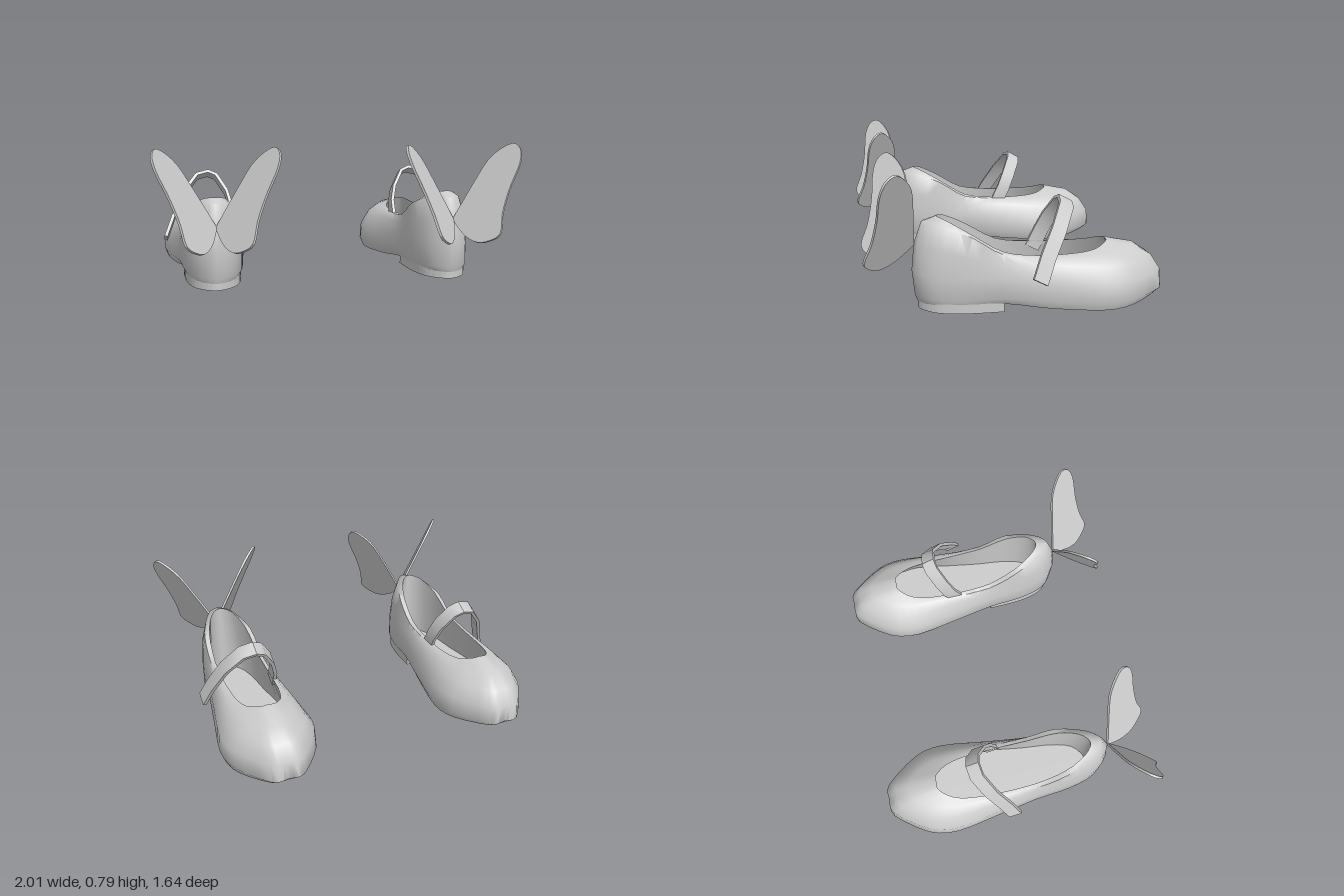
import * as THREE from 'three';
import { toCreasedNormals } from 'three/addons/utils/BufferGeometryUtils.js';

const grey = new THREE.MeshStandardMaterial({ color: 0xcccccc });
grey.name = 'light grey';

const V = (x, y, z) => new THREE.Vector3(x, y, z);

function mesh(name, geometry) {
  const m = new THREE.Mesh(geometry, grey);
  m.name = name;
  return m;
}

// Skin between rings of equal point count; closed around each ring
function loft(rings, closedAlong = false) {
  const n = rings[0].length, index = [];
  const last = closedAlong ? rings.length : rings.length - 1;
  for (let k = 0; k < last; k++) {
    const k2 = (k + 1) % rings.length;
    for (let i = 0; i < n; i++) {
      const j = (i + 1) % n;
      const a = k * n + i, b = k * n + j, c = k2 * n + j, d = k2 * n + i;
      index.push(a, d, c, a, c, b);
    }
  }
  const g = new THREE.BufferGeometry().setFromPoints(rings.flat());
  g.setIndex(index);
  return g;
}

// Half outlines [x, y, z] from toe to heel, climbing from the sole to the rim
const soleEdge = [[0, .035, -.79], [.085, .028, -.78], [.215, .008, -.6], [.25, .003, -.43], [.205, .016, -.15],
  [.165, .045, .09], [.15, .04, .3], [.105, .04, .46], [0, .04, .54]];
const welt = [[0, .05, -.81], [.09, .05, -.805], [.235, .05, -.61], [.268, .05, -.43], [.225, .06, -.15],
  [.188, .08, .09], [.165, .07, .3], [.115, .07, .47], [0, .07, .55]];
const lowSide = [[0, .15, -.81], [.09, .15, -.795], [.23, .15, -.6], [.262, .15, -.43], [.22, .17, -.15],
  [.185, .19, .09], [.165, .2, .3], [.11, .2, .48], [0, .21, .565]];
const highSide = [[0, .235, -.755], [.08, .235, -.74], [.185, .235, -.58], [.21, .23, -.42], [.187, .25, -.15],
  [.17, .26, .09], [.157, .31, .29], [.105, .34, .46], [0, .36, .55]];
const rimOuter = [[0, .295, -.67], [.06, .29, -.65], [.13, .285, -.54], [.16, .28, -.4], [.158, .287, -.15],
  [.157, .31, .09], [.145, .41, .26], [.08, .467, .43], [0, .472, .51]];
const rimInner = [[0, .33, -.5], [.045, .325, -.495], [.1, .3, -.42], [.127, .29, -.3], [.135, .292, -.1],
  [.132, .32, .09], [.115, .42, .26], [.065, .485, .38], [0, .5, .43]];

function ring(half) {
  const right = half.map(p => V(...p));
  const left = right.slice(1, -1).reverse().map(p => V(-p.x, p.y, p.z));
  const curve = new THREE.CatmullRomCurve3([...right, ...left], true, 'catmullrom', 0.45);
  return Array.from({ length: 48 }, (_, i) => curve.getPoint(i / 48));
}

function shoeBody() {
  const flatten = r => r.map(p => V(0, p.y, p.z));
  const sole = ring(soleEdge);
  const floor = ring(welt.map(([x, y, z]) => [x * .8, .075, z * .8]));
  const rings = [flatten(sole), sole, ...[welt, lowSide, highSide, rimOuter, rimInner].map(ring),
    floor, flatten(floor)];
  return toCreasedNormals(loft(rings), 0.95);
}

// Low heel block under the back of the sole
function heelBlock() {
  const s = new THREE.Shape();
  s.moveTo(-.165, .095);
  s.lineTo(.165, .095);
  s.splineThru([[.155, .3], [.11, .455], [0, .535], [-.11, .455], [-.155, .3], [-.165, .095]]
    .map(p => new THREE.Vector2(...p)));
  const g = new THREE.ExtrudeGeometry(s, { depth: .055, bevelEnabled: false, curveSegments: 4 });
  return g.rotateX(Math.PI / 2).translate(0, .055, 0);
}

// Flat strap swept over the opening, its outer end overlapping the side
function strap() {
  const path = [[.262, .185, -.075], [.215, .3, -.125], [.15, .435, -.2], [.06, .54, -.262], [-.01, .556, -.272],
    [-.06, .535, -.262], [-.12, .44, -.215], [-.145, .35, -.175], [-.145, .25, -.125]].map(p => V(...p));
  const across = V(0, .47, .88).normalize();
  const rings = path.map((p, i) => {
    const t = path[Math.min(i + 1, path.length - 1)].clone().sub(path[Math.max(i - 1, 0)]);
    const out = t.cross(across).normalize();
    return [[1, 1], [1, -1], [-1, -1], [-1, 1]].map(([a, b]) =>
      p.clone().addScaledVector(across, a * .042).addScaledVector(out, b * .01));
  });
  const g = loft(rings);
  const e = (path.length - 1) * 4;
  g.setIndex([...g.index.array, 0, 1, 2, 0, 2, 3, e, e + 2, e + 1, e, e + 3, e + 2]);
  return toCreasedNormals(g, 0.7);
}

// Thin wing drawn in front view, then laid on a slanted plane
function wing() {
  const s = new THREE.Shape();
  s.moveTo(0, .35);
  s.splineThru([[.03, .28], [.07, .25], [.115, .262], [.17, .31], [.2, .42], [.25, .55], [.31, .68], [.328, .76],
    [.3, .785], [.21, .705], [.12, .56], [0, .35]].map(p => new THREE.Vector2(...p)));
  const g = new THREE.ExtrudeGeometry(s, { depth: 1, bevelEnabled: false, curveSegments: 3 });
  const bx = 1.39, by = -.75, normal = V(-bx, -by, 1).normalize();
  const pos = g.attributes.position;
  for (let i = 0; i < pos.count; i++) {
    const x = pos.getX(i), y = pos.getY(i), d = (pos.getZ(i) - .5) * .014;
    const p = V(x, y, .56 + bx * x + by * (y - .34)).addScaledVector(normal, d);
    pos.setXYZ(i, p.x, p.y, p.z);
  }
  return toCreasedNormals(g, 0.5);
}

export function createModel() {
  const model = new THREE.Group();
  model.name = 'wingedShoes';
  const body = shoeBody(), heel = heelBlock(), band = strap(), feather = wing();
  band.computeBoundingBox();
  for (const side of [1, -1]) {
    const shoe = new THREE.Group();
    shoe.name = side > 0 ? 'leftShoe' : 'rightShoe';
    const strapMesh = mesh('strap', band);
    strapMesh.material = grey;
    shoe.add(mesh('shoeBody', body), mesh('heelBlock', heel), strapMesh);
    for (const s of [1, -1]) {
      const w = mesh(s > 0 ? 'outerWing' : 'innerWing', feather);
      w.scale.x = s;
      shoe.add(w);
    }
    // Mirror the whole shoe for the other foot
    shoe.position.x = side * .672;
    shoe.scale.x = side;
    model.add(shoe);
  }
  return model;
}
